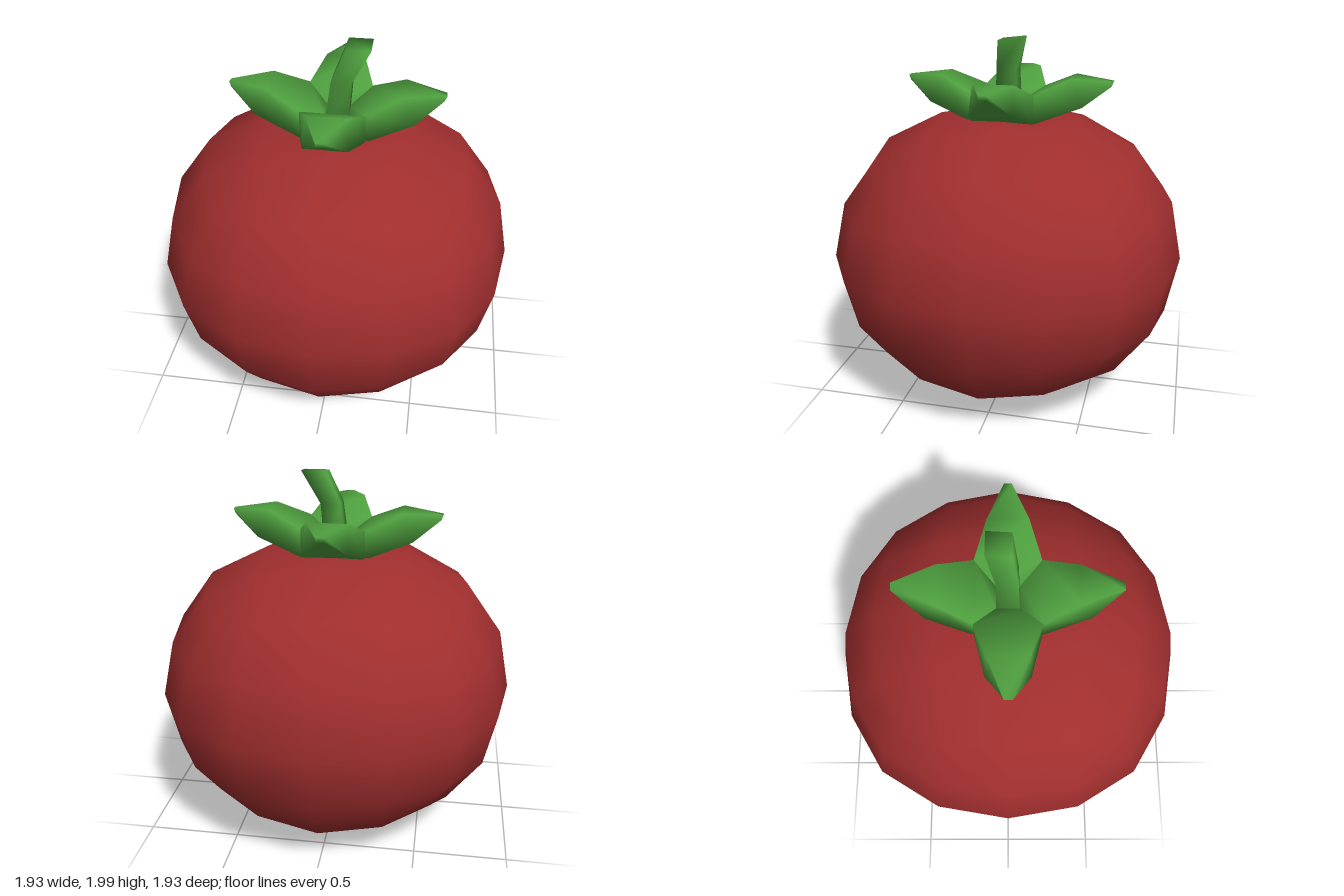
import * as THREE from 'three';
import { mergeVertices } from 'three/addons/utils/BufferGeometryUtils.js';

// Skin a list of four-cornered cross-sections into a closed, smooth solid
function loft(sections) {
  const index = [];
  const n = sections.length;
  for (let i = 0; i < n - 1; i++) {
    for (let k = 0; k < 4; k++) {
      const a = i * 4 + k, b = i * 4 + (k + 1) % 4;
      index.push(a, b, b + 4, a, b + 4, a + 4);
    }
  }
  const e = (n - 1) * 4;
  index.push(0, 3, 2, 0, 2, 1, e, e + 1, e + 2, e, e + 2, e + 3);
  const g = new THREE.BufferGeometry();
  g.setAttribute('position', new THREE.Float32BufferAttribute(sections.flat(2), 3));
  g.setIndex(index);
  g.computeVertexNormals();
  return g;
}

// Cube rounded by two steps of subdivision: each lattice point, with its
// coordinates sorted by size, moves to one of six rounded positions
function fruitGeometry() {
  const rounded = {
    '2,0,0': [0.8785, 0, 0],
    '2,1,0': [0.8195, 0.3505, 0],
    '2,2,0': [0.643, 0.643, 0],
    '2,1,1': [0.764, 0.326, 0.326],
    '2,2,1': [0.599, 0.599, 0.302],
    '2,2,2': [0.509, 0.509, 0.509],
  };
  let g = new THREE.BoxGeometry(4, 4, 4, 4, 4, 4);
  g.deleteAttribute('normal');
  g.deleteAttribute('uv');
  g = mergeVertices(g);
  const p = g.attributes.position;
  for (let i = 0; i < p.count; i++) {
    const c = [p.getX(i), p.getY(i), p.getZ(i)].map(Math.round);
    const order = [0, 1, 2].sort((a, b) => Math.abs(c[b]) - Math.abs(c[a]));
    const target = rounded[order.map((k) => Math.abs(c[k])).join(',')];
    const out = [0, 0, 0];
    order.forEach((k, j) => { out[k] = Math.sign(c[k]) * target[j]; });
    // squash the height and dent the crown slightly
    const dent = c[1] === 2 && c[0] === 0 && c[2] === 0 ? 0.03 : 0;
    p.setXYZ(i, out[0] * 1.098, 0.813 + out[1] * 0.918 - dent, out[2] * 1.098);
  }
  g.computeVertexNormals();
  return g;
}

export function createModel() {
  const group = new THREE.Group();
  const red = new THREE.MeshStandardMaterial({ name: 'ripe red', color: 0xa02e2e });
  const green = new THREE.MeshStandardMaterial({ name: 'leaf green', color: 0x4fa03f });

  const fruit = new THREE.Mesh(fruitGeometry(), red);
  fruit.name = 'fruit';
  group.add(fruit);

  // Leaf section: bottom and top edges, each [half width, height, distance out]
  const leafSection = ([bw, by, bz], [tw, ty, tz]) =>
    [[bw, by, bz], [tw, ty, tz], [-tw, ty, tz], [-bw, by, bz]];
  const leafGeometry = loft([
    leafSection([0.06, 1.56, 0.06], [0.06, 1.64, 0.06]),
    leafSection([0.168, 1.56, 0.17], [0.168, 1.71, 0.17]),
    leafSection([0.112, 1.645, 0.41], [0.105, 1.79, 0.35]),
    leafSection([0.02, 1.745, 0.55], [0.02, 1.772, 0.56]),
  ]);
  for (let i = 0; i < 4; i++) {
    const leaf = new THREE.Mesh(leafGeometry, green);
    leaf.name = `leaf${i + 1}`;
    leaf.rotation.y = i * Math.PI / 2;
    group.add(leaf);
  }

  // Bent, square stem with a slightly tilted tip
  const stemSection = (x, y, z, h, tilt = 0) => [
    [x + h, y - tilt, z + h], [x + h, y, z - h], [x - h, y, z - h], [x - h, y - tilt, z + h],
  ];
  const stem = new THREE.Mesh(loft([
    stemSection(0, 1.57, 0, 0.06),
    stemSection(0.027, 1.82, -0.002, 0.053),
    stemSection(0.109, 2.0, -0.042, 0.063, 0.015),
  ]), green);
  stem.name = 'stem';
  group.add(stem);
  return group;
}
